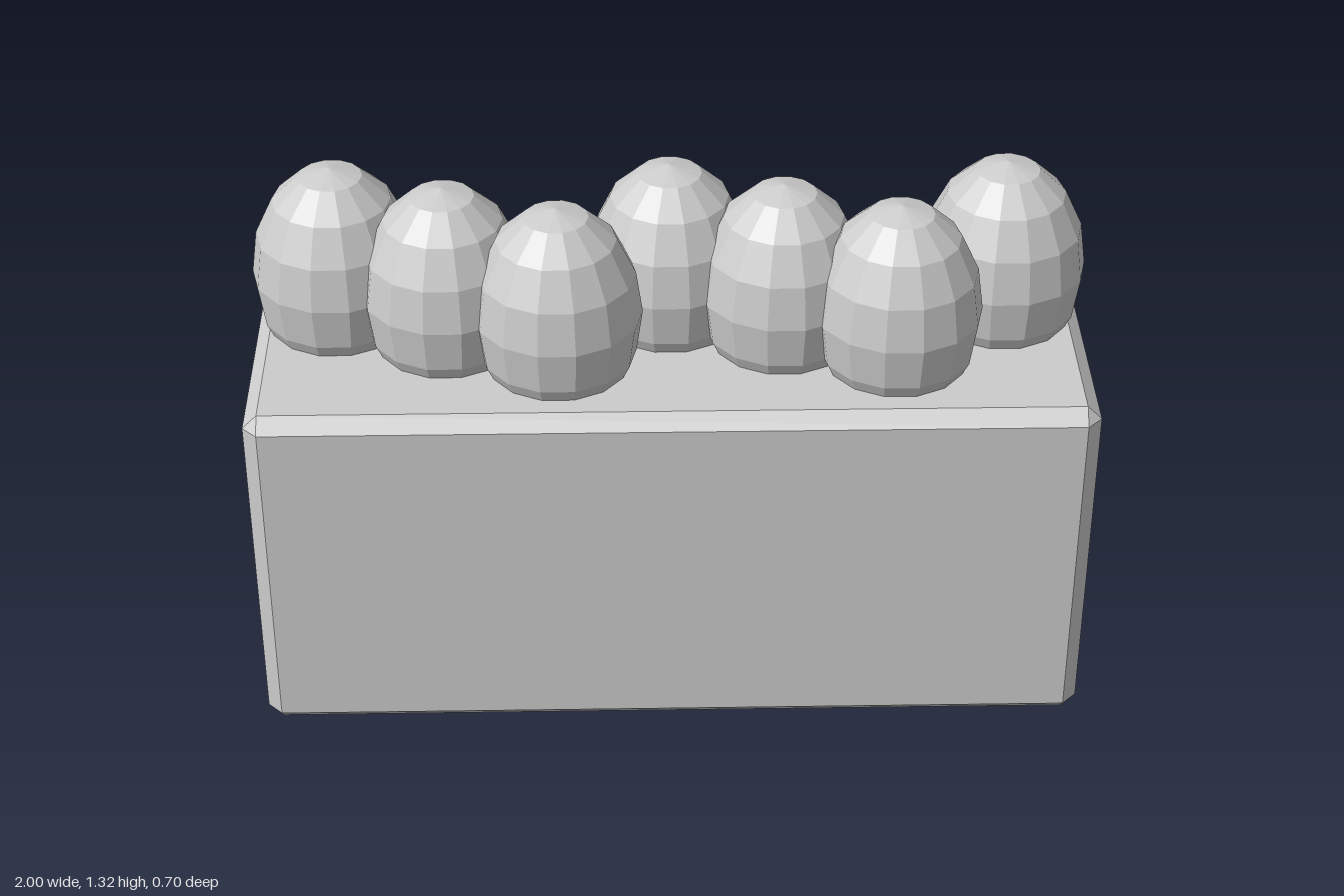
import * as THREE from 'three';
import { ConvexGeometry } from 'three/addons/geometries/ConvexGeometry.js';

// Box with every edge and corner cut flat by c, standing on y = 0
function chamferedBox(w, h, d, c) {
  const points = [];
  for (const sx of [-1, 1]) for (const sy of [-1, 1]) for (const sz of [-1, 1]) {
    const x = w / 2, y = h / 2, z = d / 2;
    points.push(
      new THREE.Vector3(sx * x, sy * (y - c), sz * (z - c)),
      new THREE.Vector3(sx * (x - c), sy * y, sz * (z - c)),
      new THREE.Vector3(sx * (x - c), sy * (y - c), sz * z)
    );
  }
  return new ConvexGeometry(points).translate(0, h / 2, 0);
}

// Tall faceted ellipsoid
function facetedEgg(radius, stretch) {
  const geometry = new THREE.SphereGeometry(radius, 14, 8).scale(1, stretch, 1).toNonIndexed();
  geometry.computeVertexNormals();
  return geometry;
}

export function createModel() {
  const group = new THREE.Group();
  group.name = 'planter';

  const grey = new THREE.MeshStandardMaterial({ color: 0xcccccc });
  grey.name = 'light grey';

  // Planter box
  const box = new THREE.Mesh(chamferedBox(2, 0.9, 0.7, 0.035), grey);
  box.name = 'planterBox';
  group.add(box);

  // Seven bushes, stepping from back to front in threes
  const bushGeometry = facetedEgg(0.2, 1.4);
  for (let i = 0; i < 7; i++) {
    const bush = new THREE.Mesh(bushGeometry, grey);
    bush.name = `bush${i + 1}`;
    bush.position.set(-0.8 + (i * 1.6) / 6, 1.04, ((i % 3) - 1) * 0.1);
    group.add(bush);
  }

  return group;
}
